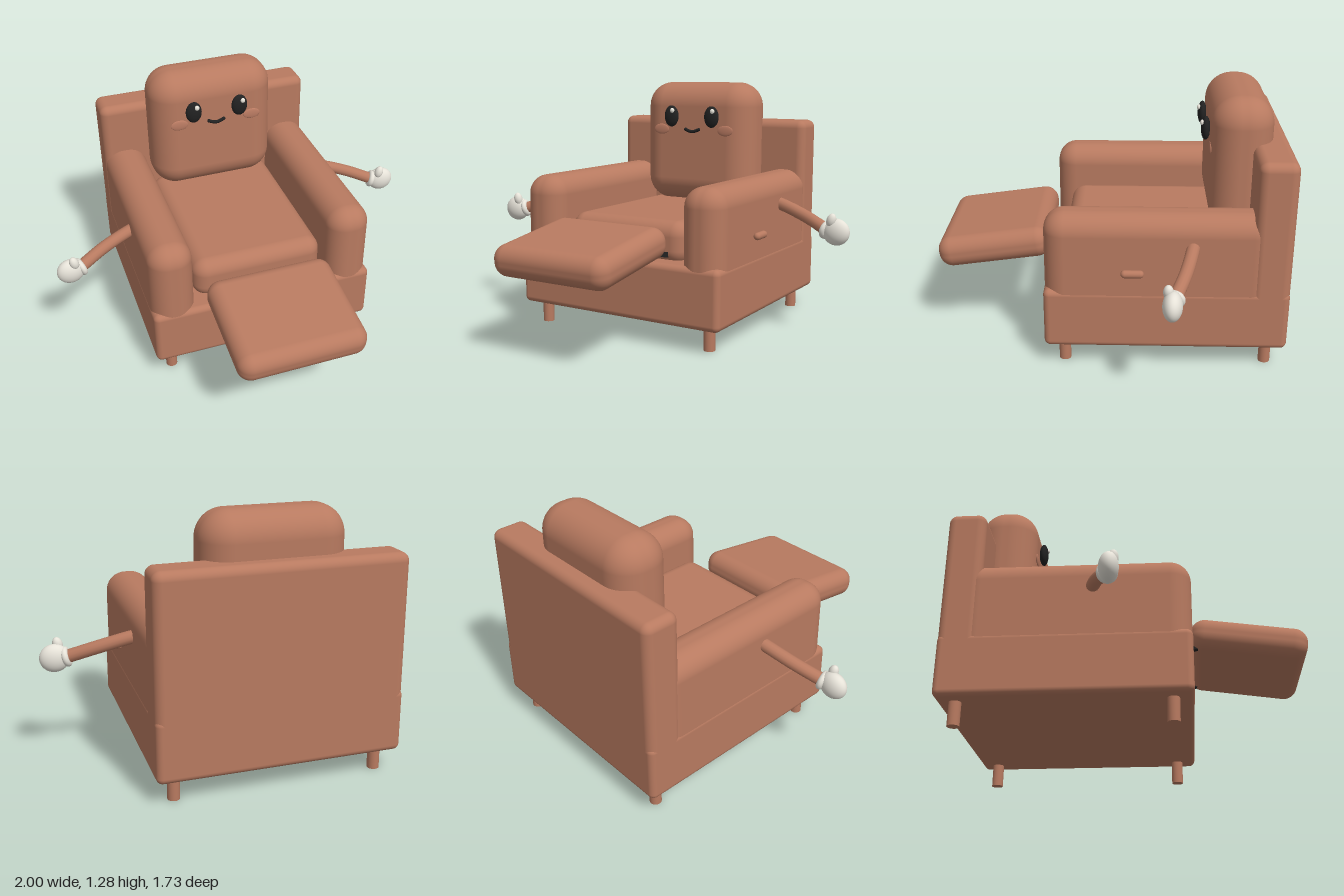
import * as THREE from 'three';
import { RoundedBoxGeometry } from 'three/addons/geometries/RoundedBoxGeometry.js';

const mat = (name, color) => {
  const m = new THREE.MeshStandardMaterial({ color });
  m.name = name;
  return m;
};

export function createModel() {
  const leather = mat('brownLeather', 0xb87a60);
  const blush = mat('blush', 0xbd7d64);
  const black = mat('black', 0x222222);
  const white = mat('gloveWhite', 0xe6e2d8);

  const model = new THREE.Group();
  model.name = 'armchair';
  const chair = new THREE.Group();
  chair.name = 'chairBody';
  chair.position.x = -0.004;
  model.add(chair);

  const add = (parent, name, geometry, material, x = 0, y = 0, z = 0) => {
    const mesh = new THREE.Mesh(geometry, material);
    mesh.name = name;
    mesh.position.set(x, y, z);
    parent.add(mesh);
    return mesh;
  };
  // Soft box given by its limits on each axis
  const cushion = (name, [x0, x1], [y0, y1], [z0, z1], r) =>
    add(chair, name, new RoundedBoxGeometry(x1 - x0, y1 - y0, z1 - z0, 8, r), leather,
      (x0 + x1) / 2, (y0 + y1) / 2, (z0 + z1) / 2);
  const ellipsoid = (parent, name, material, [x, y, z], [rx, ry, rz]) => {
    const mesh = add(parent, name, new THREE.SphereGeometry(1, 32, 20), material, x, y, z);
    mesh.scale.set(rx, ry, rz);
    return mesh;
  };
  const tube = (parent, name, material, points, r) => add(parent, name,
    new THREE.TubeGeometry(new THREE.CatmullRomCurve3(points.map(p => new THREE.Vector3(...p))), 20, r, 14), material);

  // Upholstered frame
  cushion('base', [-0.588, 0.588], [0.115, 0.42], [-0.866, 0.31], 0.03);
  cushion('backrest', [-0.588, 0.588], [0.3, 1.072], [-0.866, -0.68], 0.042);
  cushion('seatCushion', [-0.346, 0.346], [0.39, 0.61], [-0.69, 0.222], 0.075);
  cushion('headCushion', [-0.341, 0.341], [0.6, 1.28], [-0.786, -0.486], 0.135);
  for (const s of [-1, 1]) {
    const limits = [s * 0.36, s * 0.586].sort((a, b) => a - b);
    cushion('armrest', limits, [0.25, 0.8], [-0.78, 0.308], 0.1);
  }

  // Raised footrest and its support rods
  const footrest = add(chair, 'footrest', new RoundedBoxGeometry(0.652, 0.158, 0.572, 8, 0.07), leather, 0, 0.498, 0.583);
  footrest.rotation.x = 0.14;
  for (const s of [-1, 1]) {
    const rod = add(chair, 'footrestRod', new THREE.BoxGeometry(0.028, 0.026, 0.3), black, s * 0.248, 0.46, 0.28);
    rod.rotation.x = -0.2;
  }

  // Legs
  for (const x of [-0.495, 0.495]) for (const z of [0.215, -0.775])
    add(chair, 'leg', new THREE.CylinderGeometry(0.029, 0.029, 0.13, 24), leather, x, 0.065, z);

  // Reclining lever on the left side
  const lever = add(chair, 'lever', new THREE.CapsuleGeometry(0.019, 0.072, 8, 16), leather, 0.602, 0.526, -0.115);
  lever.rotation.x = Math.PI / 2;

  // Face
  for (const s of [-1, 1]) {
    ellipsoid(chair, 'eye', black, [s * 0.128, 1.09, -0.467], [0.044, 0.06, 0.023]);
    ellipsoid(chair, 'eyeHighlight', white, [s * 0.128 + 0.014, 1.122, -0.449], [0.013, 0.014, 0.011]);
    ellipsoid(chair, 'cheek', blush, [s * 0.204, 1.014, -0.486], [0.048, 0.029, 0.006]);
  }
  tube(chair, 'mouth', black, [[-0.042, 1.017, -0.478], [-0.02, 1.008, -0.476], [0, 1.005, -0.475],
    [0.02, 1.008, -0.476], [0.042, 1.017, -0.478]], 0.009);
  for (const s of [-1, 1])
    ellipsoid(chair, 'mouthCorner', black, [s * 0.042, 1.017, -0.478], [0.009, 0.009, 0.009]);

  // Side limbs with gloved hands; the right one sits further forward
  for (const [s, dz] of [[1, 0], [-1, 0.245]]) {
    const limb = new THREE.Group();
    limb.name = s > 0 ? 'leftLimb' : 'rightLimb';
    limb.position.z = dz;
    model.add(limb);
    tube(limb, 'limb', leather, [[s * 0.5, 0.668, -0.41], [s * 0.6, 0.645, -0.392],
      [s * 0.74, 0.602, -0.355], [s * 0.88, 0.55, -0.3]], 0.032);
    const cuff = add(limb, 'gloveCuff', new THREE.TorusGeometry(0.033, 0.016, 14, 28), white, s * 0.873, 0.553, -0.302);
    cuff.quaternion.setFromUnitVectors(new THREE.Vector3(0, 0, 1), new THREE.Vector3(s * 0.92, -0.27, 0.28).normalize());
    const palm = ellipsoid(limb, 'gloveHand', white, [s * 0.928, 0.548, -0.291], [0.071, 0.068, 0.045]);
    palm.rotation.y = -s * 0.08;
    const thumb = ellipsoid(limb, 'gloveThumb', white, [s * 0.908, 0.607, -0.272], [0.024, 0.036, 0.023]);
    thumb.rotation.z = -s * 0.25;
  }
  return model;
}
